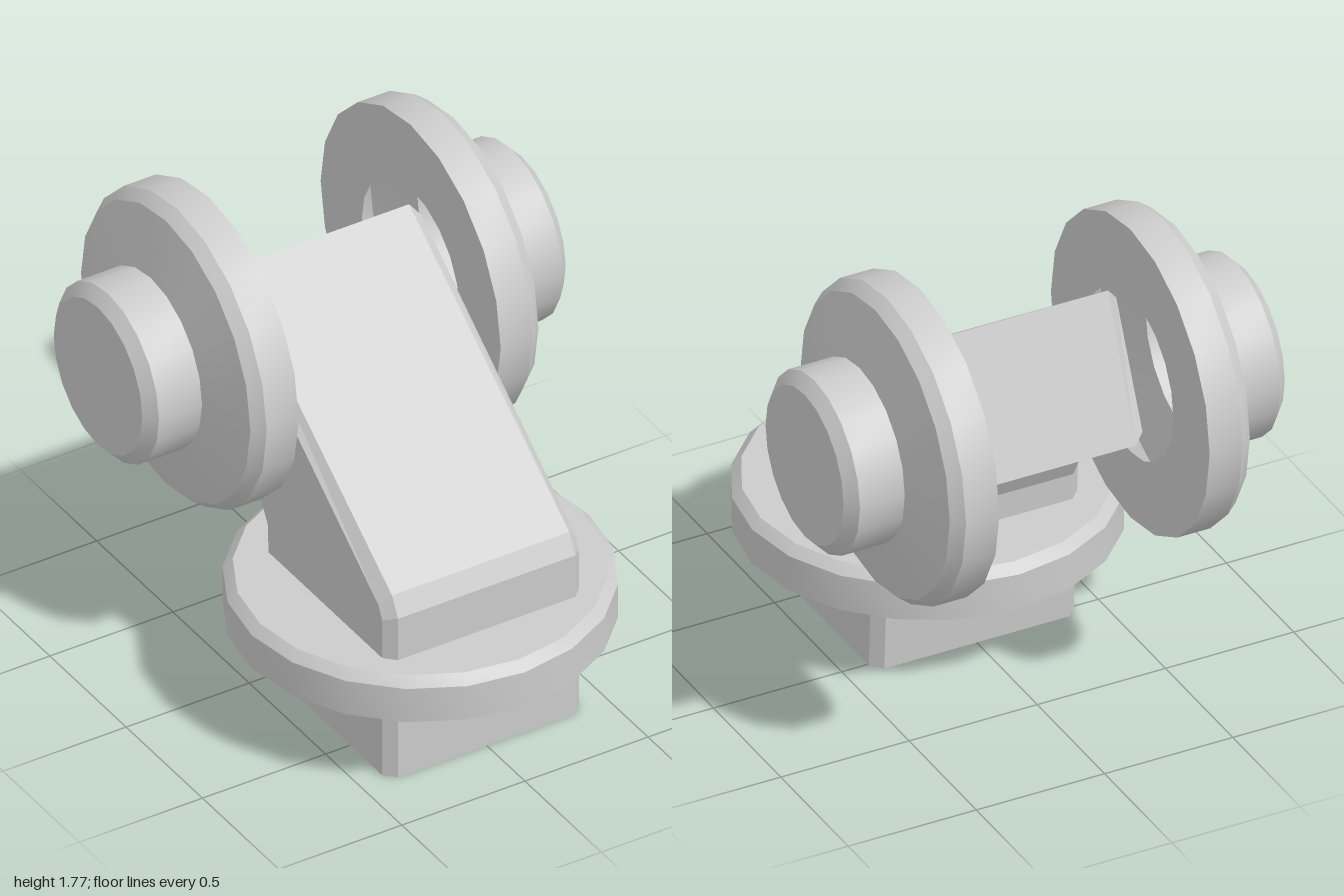
import * as THREE from 'three';
import { toCreasedNormals } from 'three/addons/utils/BufferGeometryUtils.js';

const material = new THREE.MeshStandardMaterial({ color: 0xcccccc, side: THREE.DoubleSide });

function part(name, geometry) {
  const mesh = new THREE.Mesh(geometry, material);
  mesh.name = name;
  return mesh;
}

// Twenty-sided turned part with crisp chamfers; profile holds [radius, height]
function turned(name, profile) {
  const points = profile.map(([r, h]) => new THREE.Vector2(r, h));
  return part(name, toCreasedNormals(new THREE.LatheGeometry(points, 20), 0.5));
}

// Bent arm: side profile [z, y] swept across x, inset at both sides, open below
function armGeometry() {
  const outer = [[0.75, 0], [0.75, 0.67], [0.71, 0.745], [-0.34, 1.5],
    [-0.545, 0.98], [-0.13, 0.69], [-0.08, 0.6], [-0.05, 0]];
  const inset = [[0.71, 0], [0.71, 0.655], [0.685, 0.705], [-0.325, 1.45],
    [-0.52, 1.01], [-0.1, 0.715], [-0.04, 0.61], [-0.01, 0]];
  const rings = [[-0.4, inset], [-0.36, outer], [0.36, outer], [0.4, inset]]
    .map(([x, profile]) => profile.map(([z, y]) => [x, y, z]));
  const positions = [];
  const triangle = (a, b, c) => positions.push(...a, ...b, ...c);

  for (let k = 0; k < rings.length - 1; k++) {
    const p = rings[k], q = rings[k + 1];
    for (let i = 0; i < p.length - 1; i++) {
      triangle(p[i], q[i], q[i + 1]);
      triangle(p[i], q[i + 1], p[i + 1]);
    }
  }

  // Flat sides
  const contour = inset.map(([z, y]) => new THREE.Vector2(z, y));
  for (const [a, b, c] of THREE.ShapeUtils.triangulateShape(contour, [])) {
    triangle(rings[0][a], rings[0][b], rings[0][c]);
    triangle(rings[3][c], rings[3][b], rings[3][a]);
  }

  const geometry = new THREE.BufferGeometry();
  geometry.setAttribute('position', new THREE.Float32BufferAttribute(positions, 3));
  geometry.computeVertexNormals();
  return geometry;
}

export function createModel() {
  const model = new THREE.Group();
  model.name = 'swivelBracket';

  model.add(part('arm', armGeometry()));

  // Collar: a shallow cap, hollow underneath
  const collar = turned('collar', [[0.685, 0.32], [0.685, 0.46], [0.65, 0.495], [0, 0.495]]);
  collar.position.z = 0.315;
  model.add(collar);

  // Wheels: hollow shells with an open inner hole and a closed hub outside
  const profile = [[0.32, 0.41], [0.59, 0.41], [0.59, 0.54], [0.555, 0.585],
    [0.335, 0.645], [0.335, 0.82], [0.29, 0.86], [0, 0.86]];
  for (const side of [1, -1]) {
    const wheel = turned(side > 0 ? 'leftWheel' : 'rightWheel', profile);
    wheel.rotation.z = -side * Math.PI / 2;
    wheel.position.set(0, 1.185, -0.41);
    model.add(wheel);
  }

  return model;
}
